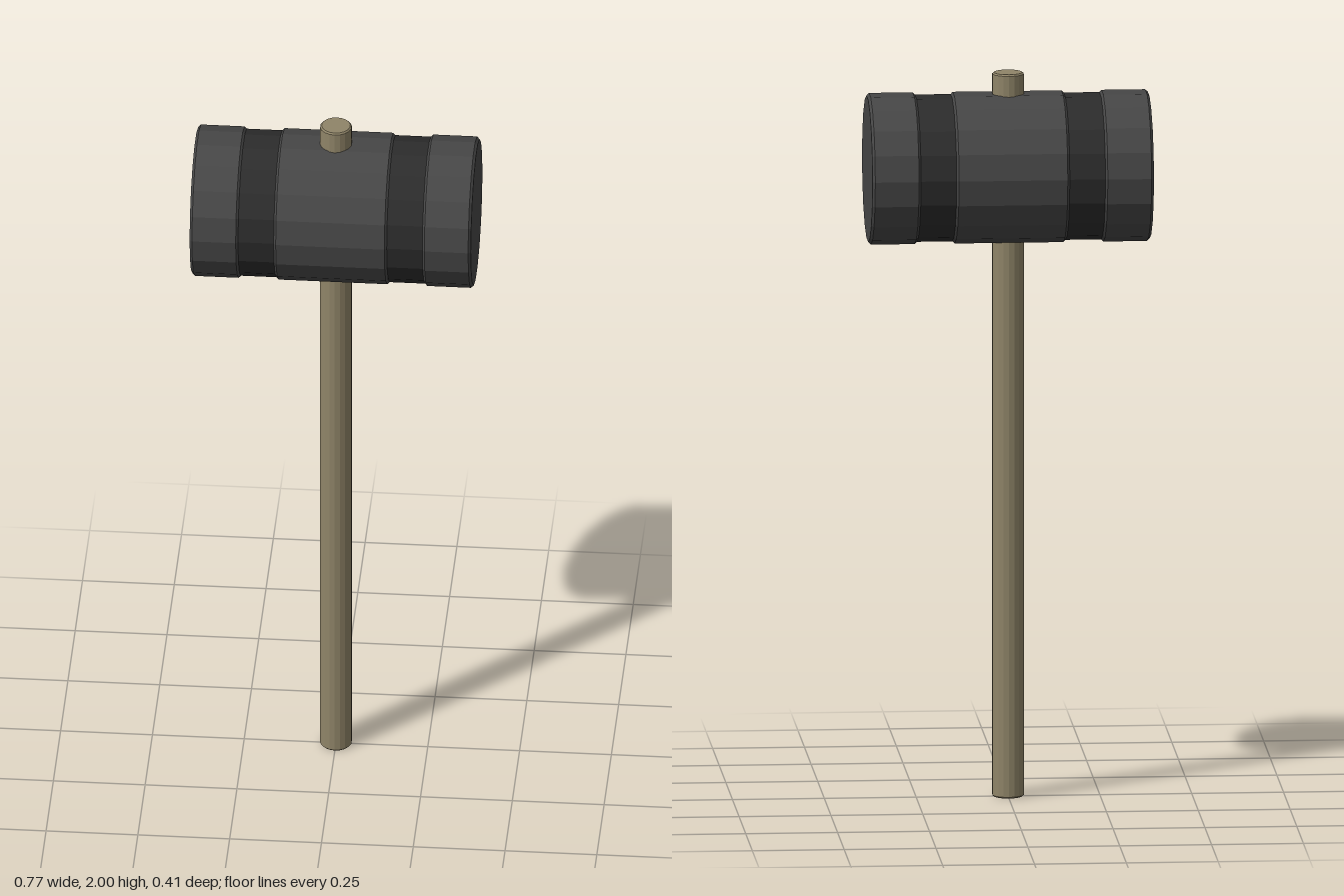
import * as THREE from 'three';

const SIDES = 18;
const HEAD_Y = 1.738;

// Faceted solid turned around y from [radius, height] points, bottom to top
function turned(name, points, color) {
  const profile = points.map(([r, y]) => new THREE.Vector2(r, y));
  const material = new THREE.MeshStandardMaterial({ color, flatShading: true });
  const mesh = new THREE.Mesh(new THREE.LatheGeometry(profile, SIDES), material);
  mesh.name = name;
  return mesh;
}

// Closed cylinder with a small chamfer at both ends
function chamfered(name, radius, from, to, bevel, color) {
  return turned(name, [
    [0, from], [radius - bevel, from], [radius, from + bevel],
    [radius, to - bevel], [radius - bevel, to], [0, to],
  ], color);
}

export function createModel() {
  const model = new THREE.Group();
  model.name = 'mallet';

  // Long wooden handle passing through the head
  model.add(chamfered('handle', 0.043, 0, 2, 0.004, 0x8f8468));

  // Head: built upright, then laid along x
  const head = new THREE.Group();
  head.name = 'head';
  head.position.y = HEAD_Y;
  head.rotation.z = -Math.PI / 2;
  model.add(head);

  const dark = 0x464646;
  head.add(chamfered('headCentre', 0.206, -0.155, 0.155, 0.007, dark));
  head.add(chamfered('rightStrikingEnd', 0.206, -0.383, -0.25, 0.007, dark));
  head.add(chamfered('leftStrikingEnd', 0.206, 0.25, 0.383, 0.007, dark));

  // Recessed darker bands between centre and ends
  for (const [name, x] of [['rightBand', -0.2], ['leftBand', 0.2]]) {
    head.add(turned(name, [[0.2, x - 0.055], [0.2, x + 0.055]], 0x2c2c2c));
  }
  return model;
}
